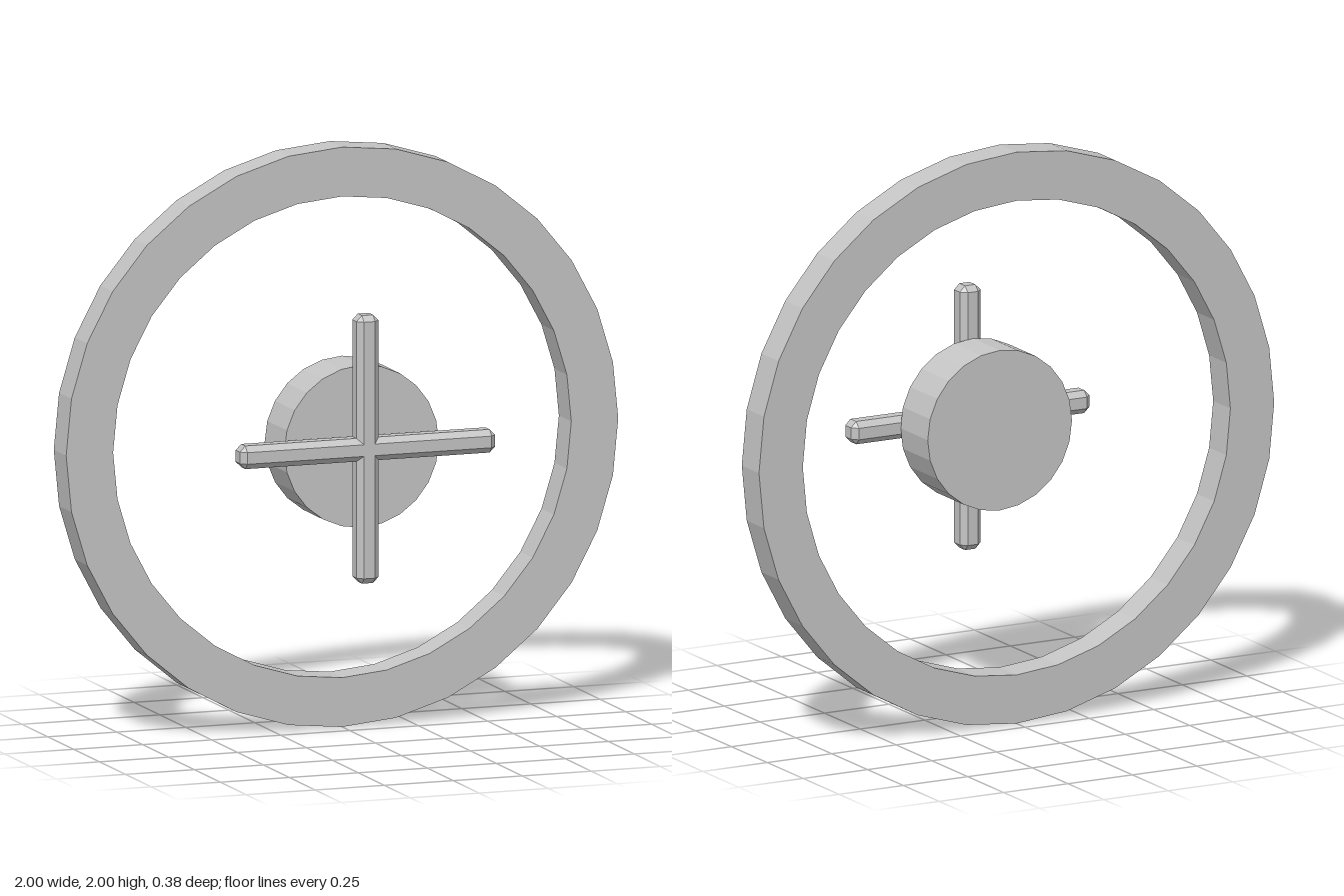
import * as THREE from 'three';
import { ConvexGeometry } from 'three/addons/geometries/ConvexGeometry.js';

const grey = new THREE.MeshStandardMaterial({ color: 0xc4c4c4, flatShading: true });
grey.name = 'light grey';

// Box with all edges and corners cut off by c
function chamferedBox(w, h, d, c) {
  const points = [];
  for (const sx of [-1, 1]) for (const sy of [-1, 1]) for (const sz of [-1, 1]) {
    for (let axis = 0; axis < 3; axis++) {
      const inset = [c, c, c];
      inset[axis] = 0;
      points.push(new THREE.Vector3(
        sx * (w / 2 - inset[0]), sy * (h / 2 - inset[1]), sz * (d / 2 - inset[2])));
    }
  }
  return new ConvexGeometry(points);
}

export function createModel() {
  const model = new THREE.Group();
  model.name = 'ringWithCrossHandle';

  function add(name, geometry, z) {
    const mesh = new THREE.Mesh(geometry, grey);
    mesh.name = name;
    mesh.position.set(0, 1, z);
    model.add(mesh);
  }

  // Flat outer ring at the back: rectangular section swept round the z axis
  const section = [[1, -0.06], [1, 0.06], [0.83, 0.06], [0.83, -0.06], [1, -0.06]]
    .map(([r, y]) => new THREE.Vector2(r, y));
  add('outerRing', new THREE.LatheGeometry(section, 32).rotateX(Math.PI / 2), -0.132);

  // Round hub in the middle
  add('hub', new THREE.CylinderGeometry(0.28, 0.28, 0.19, 24).rotateX(Math.PI / 2), 0.02);

  // Crossed bars on the front of the hub
  add('horizontalBar', chamferedBox(0.925, 0.08, 0.08, 0.02), 0.152);
  add('verticalBar', chamferedBox(0.08, 0.925, 0.08, 0.02), 0.152);

  return model;
}
